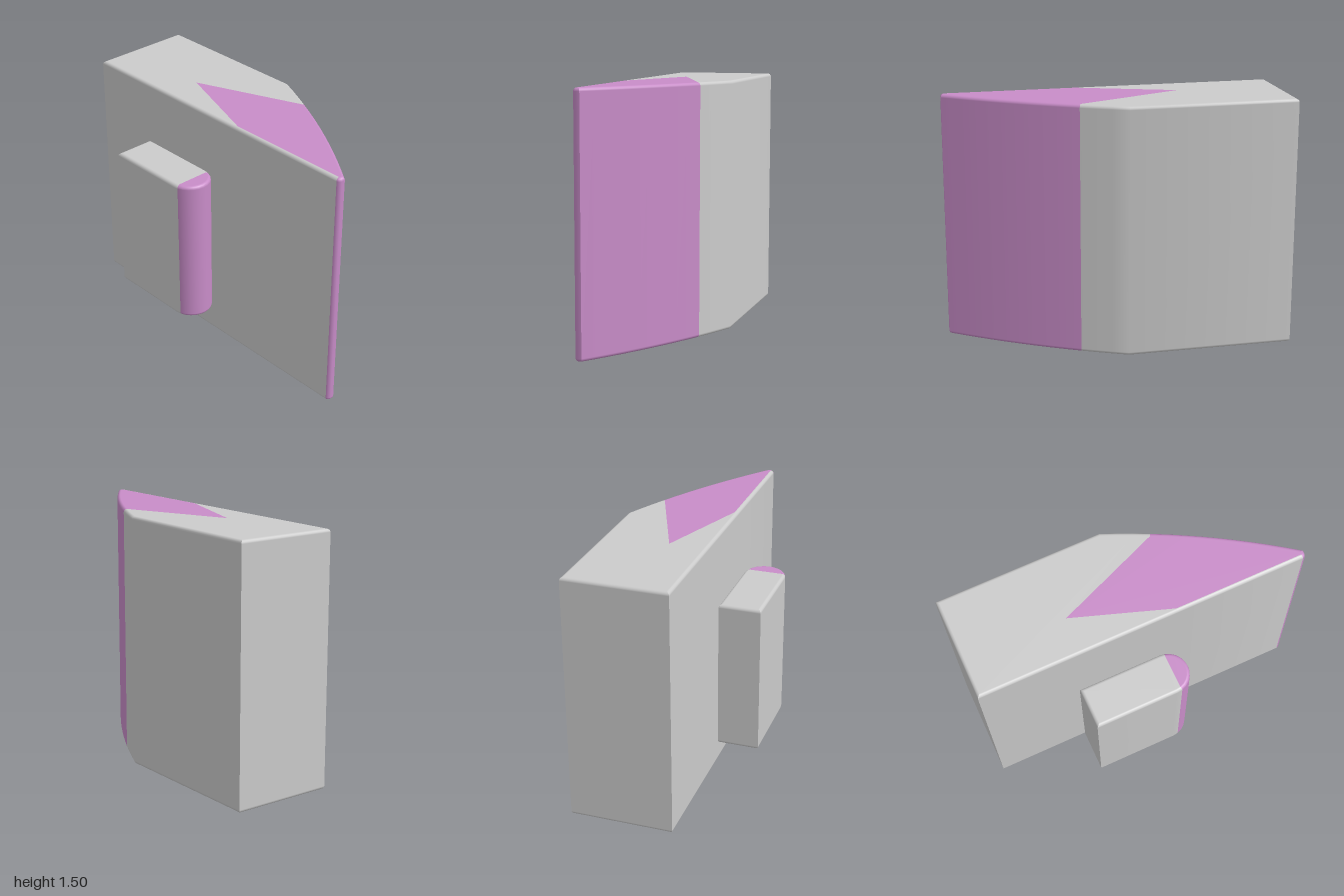
import * as THREE from 'three';
import { mergeGeometries } from 'three/addons/utils/BufferGeometryUtils.js';

const V = (x, z) => new THREE.Vector2(x, z);
const grey = new THREE.MeshStandardMaterial({ color: 0xcccccc });
const purple = new THREE.MeshStandardMaterial({ color: 0xc88cc8 });

// Flat lid at height y from points in plan (x, z), facing up or down
function lid(points, y, up) {
  const shape = new THREE.Shape(points.map(p => V(p.x, up ? -p.y : p.y)));
  const g = new THREE.ShapeGeometry(shape).toNonIndexed();
  return g.rotateX(up ? -Math.PI / 2 : Math.PI / 2).translate(0, y, 0);
}

// Upright prism with rounded top and bottom edges and a coloured nose.
// wall: outline range of the nose wall; cap: range of the nose lid; inner: lid border points
function nosedBlock(name, outline, y0, y1, r, wall, cap, inner) {
  const n = outline.length;
  const edge = outline.map((p, i) => {
    const d = outline[(i + 1) % n].clone().sub(p).normalize();
    return V(d.y, -d.x);
  });
  const miter = edge.map((b, i) => {
    const a = edge[(i + n - 1) % n];
    return a.clone().add(b).divideScalar(1 + a.dot(b));
  });
  const inset = d => outline.map((p, i) => p.clone().addScaledVector(miter[i], -d));
  // smooth over shallow corners, sharp at the others
  const normalAt = (i, side) => {
    const a = edge[(i + n - 1) % n], b = edge[i];
    return a.dot(b) > Math.cos(0.8) ? a.clone().add(b).normalize() : (side ? b : a);
  };

  const rings = [];
  for (const [base, from] of [[y0 + r, -Math.PI / 2], [y1 - r, 0]]) {
    for (let k = 0; k <= 4; k++) {
      const t = from + k * Math.PI / 8;
      rings.push({ t, y: base + r * Math.sin(t), pts: inset(r * (1 - Math.cos(t))) });
    }
  }

  function walls(indices) {
    const pos = [], nor = [], uv = [];
    for (const i of indices) {
      const j = (i + 1) % n, nA = normalAt(i, true), nB = normalAt(j, false);
      for (let k = 0; k + 1 < rings.length; k++) {
        const lo = rings[k], hi = rings[k + 1];
        const put = (ring, v, m) => {
          pos.push(ring.pts[v].x, ring.y, ring.pts[v].y);
          const c = Math.cos(ring.t);
          nor.push(m.x * c, Math.sin(ring.t), m.y * c);
          uv.push(0, 0);
        };
        put(lo, i, nA); put(hi, i, nA); put(lo, j, nB);
        put(lo, j, nB); put(hi, i, nA); put(hi, j, nB);
      }
    }
    const g = new THREE.BufferGeometry();
    g.setAttribute('position', new THREE.Float32BufferAttribute(pos, 3));
    g.setAttribute('normal', new THREE.Float32BufferAttribute(nor, 3));
    g.setAttribute('uv', new THREE.Float32BufferAttribute(uv, 2));
    return g;
  }

  const all = outline.map((_, i) => i);
  const isNose = i => i >= wall[0] && i < wall[1];
  const top = inset(r), [s, e] = cap;
  const noseLid = [...top.slice(s, e + 1), ...inner];
  const bodyLid = [...top.slice(e), ...top.slice(0, s + 1), ...[...inner].reverse()];
  const part = (label, indices, pts, mat) => {
    const mesh = new THREE.Mesh(
      mergeGeometries([walls(indices), lid(pts, y1, true), lid(pts, y0, false)]), mat);
    mesh.name = label;
    return mesh;
  };

  const group = new THREE.Group();
  group.name = name;
  group.add(
    part(name + 'Body', all.filter(i => !isNose(i)), bodyLid, grey),
    part(name + 'Nose', all.filter(isNose), noseLid, purple));
  return group;
}

export function createModel() {
  const model = new THREE.Group();
  model.name = 'wedgeAndPlate';

  // Large wedge: straight back half, curved taper to a narrow front edge
  const taper = new THREE.QuadraticBezierCurve(V(0.477, 0), V(0.25, 0.535), V(-0.1, 1));
  const wedge = [V(-0.143, -1), V(0.477, -1), ...taper.getPoints(12),
    V(-0.123, 1), V(-0.137, 0.994), V(-0.143, 0.98), V(-0.143, 0.2)];
  model.add(nosedBlock('wedge', wedge, 0, 1.5, 0.02, [5, 17], [5, 18], [V(0.08, -0.38)]));

  // Small plate beside it with a half-round front
  const radius = 0.123, cx = -0.357, cz = 0.047;
  const plate = [V(cx - radius, -0.45), V(cx + radius, -0.45)];
  for (let k = 0; k <= 12; k++) {
    const a = k * Math.PI / 12;
    plate.push(V(cx + radius * Math.cos(a), cz + radius * Math.sin(a)));
  }
  model.add(nosedBlock('plate', plate, 0.3, 1.2, 0.02, [3, 13], [3, 13], []));
  return model;
}
